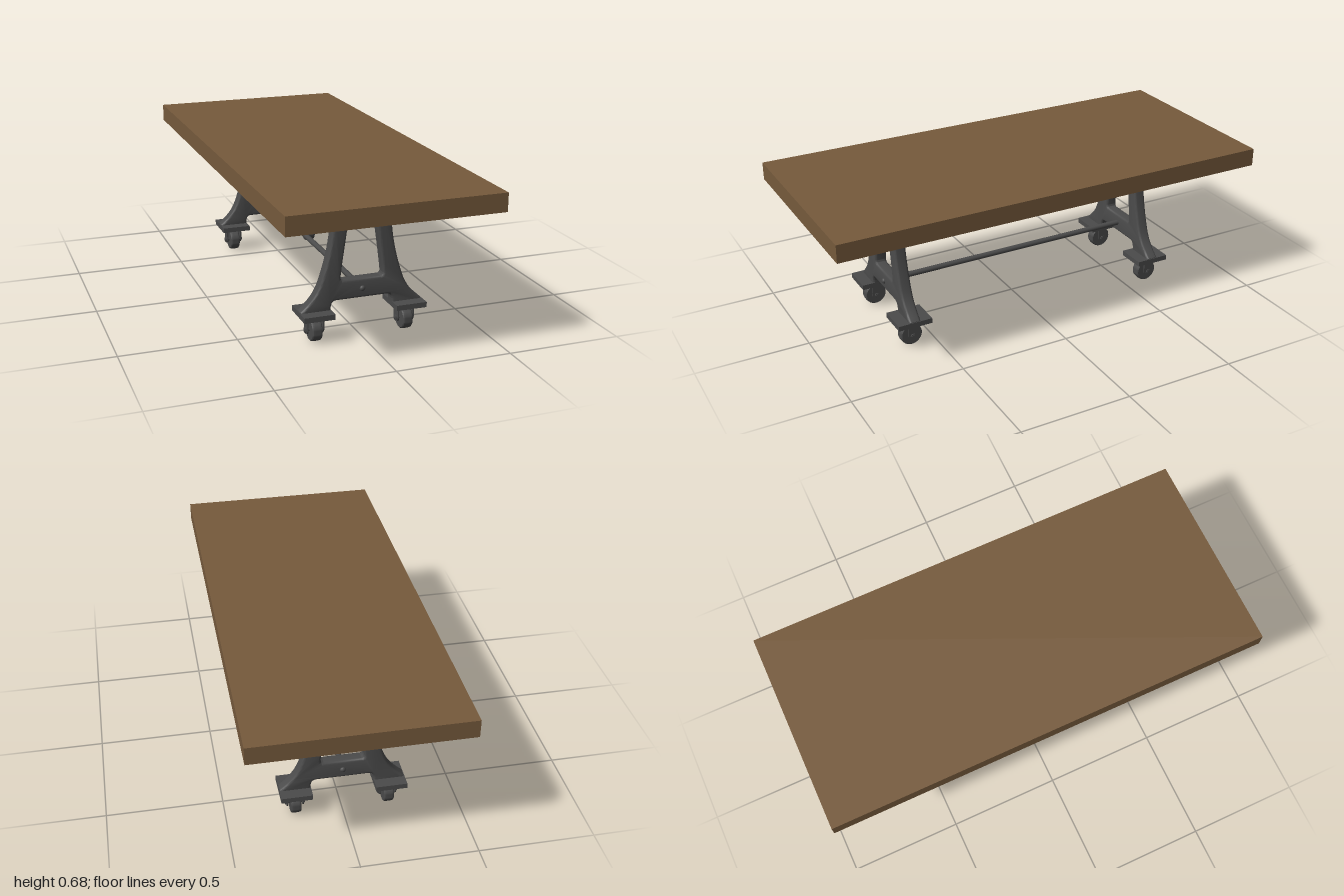
import * as THREE from 'three';
import { toCreasedNormals } from 'three/addons/utils/BufferGeometryUtils.js';

export function createModel() {
  const wood = new THREE.MeshStandardMaterial({ color: 0x765a3c });
  wood.name = 'brown wood';
  const iron = new THREE.MeshStandardMaterial({ color: 0x4b4b4b });
  iron.name = 'dark iron';

  const add = (parent, name, geometry, material, x = 0, y = 0, z = 0) => {
    const mesh = new THREE.Mesh(geometry, material);
    mesh.name = name;
    mesh.position.set(x, y, z);
    parent.add(mesh);
    return mesh;
  };
  const box = (w, h, d) => new THREE.BoxGeometry(w, h, d);
  const rodX = (r, length, sides = 16) =>
    new THREE.CylinderGeometry(r, r, length, sides).rotateZ(Math.PI / 2);

  const model = new THREE.Group();
  model.name = 'rollingTable';
  add(model, 'tableTop', box(0.906, 0.079, 2), wood, 0, 0.6425, 0);

  // A-shaped casting: two flared legs joined by a crossbar
  const s = new THREE.Shape();
  s.moveTo(0, 0.172);
  s.lineTo(0.112, 0.172);
  s.quadraticCurveTo(0.135, 0.172, 0.136, 0.142);
  s.lineTo(0.136, 0.117);
  s.lineTo(0.268, 0.117);
  s.lineTo(0.268, 0.137);
  s.bezierCurveTo(0.21, 0.185, 0.192, 0.215, 0.172, 0.28);
  s.bezierCurveTo(0.145, 0.365, 0.126, 0.45, 0.123, 0.595);
  s.lineTo(0.057, 0.595);
  s.bezierCurveTo(0.06, 0.48, 0.08, 0.4, 0.094, 0.27);
  s.quadraticCurveTo(0.094, 0.256, 0.08, 0.256);
  s.lineTo(0, 0.256);
  const half = s.getPoints(12);
  // mirror the half outline about x = 0
  const mirrored = half.slice(1, -1).reverse().map(p => new THREE.Vector2(-p.x, p.y));
  const frameShape = new THREE.Shape([...half, ...mirrored]);
  const frameGeometry = toCreasedNormals(new THREE.ExtrudeGeometry(frameShape, {
    depth: 0.032, bevelEnabled: true, bevelThickness: 0.011,
    bevelSize: 0.01, bevelOffset: -0.01, bevelSegments: 4,
  }).translate(0, 0, -0.016), 0.6);

  // Fork cheek with a rounded lower end, lying in the yz plane
  const cheek = new THREE.Shape();
  cheek.moveTo(-0.022, 0.11);
  cheek.lineTo(-0.022, 0.055);
  cheek.absarc(0, 0.055, 0.022, Math.PI, Math.PI * 2, false);
  cheek.lineTo(0.022, 0.11);
  const cheekGeometry = new THREE.ExtrudeGeometry(cheek, { depth: 0.006, bevelEnabled: false })
    .translate(0, 0, -0.003).rotateY(Math.PI / 2);

  // Wheel with softened rims
  const wheelProfile = [[0, -0.022], [0.045, -0.022], [0.049, -0.018], [0.0505, -0.008],
    [0.0505, 0.008], [0.049, 0.018], [0.045, 0.022], [0, 0.022]]
    .map(([r, h]) => new THREE.Vector2(r, h));
  const wheelGeometry = toCreasedNormals(
    new THREE.LatheGeometry(wheelProfile, 36).rotateZ(Math.PI / 2), 0.6);

  function caster() {
    const g = new THREE.Group();
    g.name = 'caster';
    add(g, 'wheel', wheelGeometry, iron, 0, 0.0505, 0);
    add(g, 'forkTop', box(0.074, 0.007, 0.044), iron, 0, 0.108, 0);
    add(g, 'axle', rodX(0.007, 0.088), iron, 0, 0.0505, 0);
    for (const side of [-1, 1]) {
      add(g, 'forkCheek', cheekGeometry, iron, side * 0.034, 0, 0);
      add(g, 'axleNut', rodX(0.013, 0.007, 6), iron, side * 0.0385, 0.0505, 0);
    }
    return g;
  }

  for (const end of [-1, 1]) {
    const legs = new THREE.Group();
    legs.name = end > 0 ? 'frontLegs' : 'backLegs';
    legs.position.z = end * 0.61;
    add(legs, 'legFrame', frameGeometry, iron);
    for (const side of [-1, 1]) {
      add(legs, 'mountingPlate', box(0.136, 0.013, 0.115), iron, side * 0.0875, 0.5965, 0);
      add(legs, 'footPlate', box(0.135, 0.023, 0.155), iron, side * 0.2035, 0.1235, 0);
      const c = caster();
      c.position.x = side * 0.202;
      legs.add(c);
    }
    // Domed end of the stretcher rod
    const cap = add(legs, 'rodCap', new THREE.SphereGeometry(0.012, 20, 12), iron, 0, 0.214, end * 0.028);
    cap.scale.z = 0.8;
    model.add(legs);
  }

  add(model, 'stretcherRod',
    new THREE.CylinderGeometry(0.0125, 0.0125, 1.2, 20).rotateX(Math.PI / 2), iron, 0, 0.216, 0);
  return model;
}
